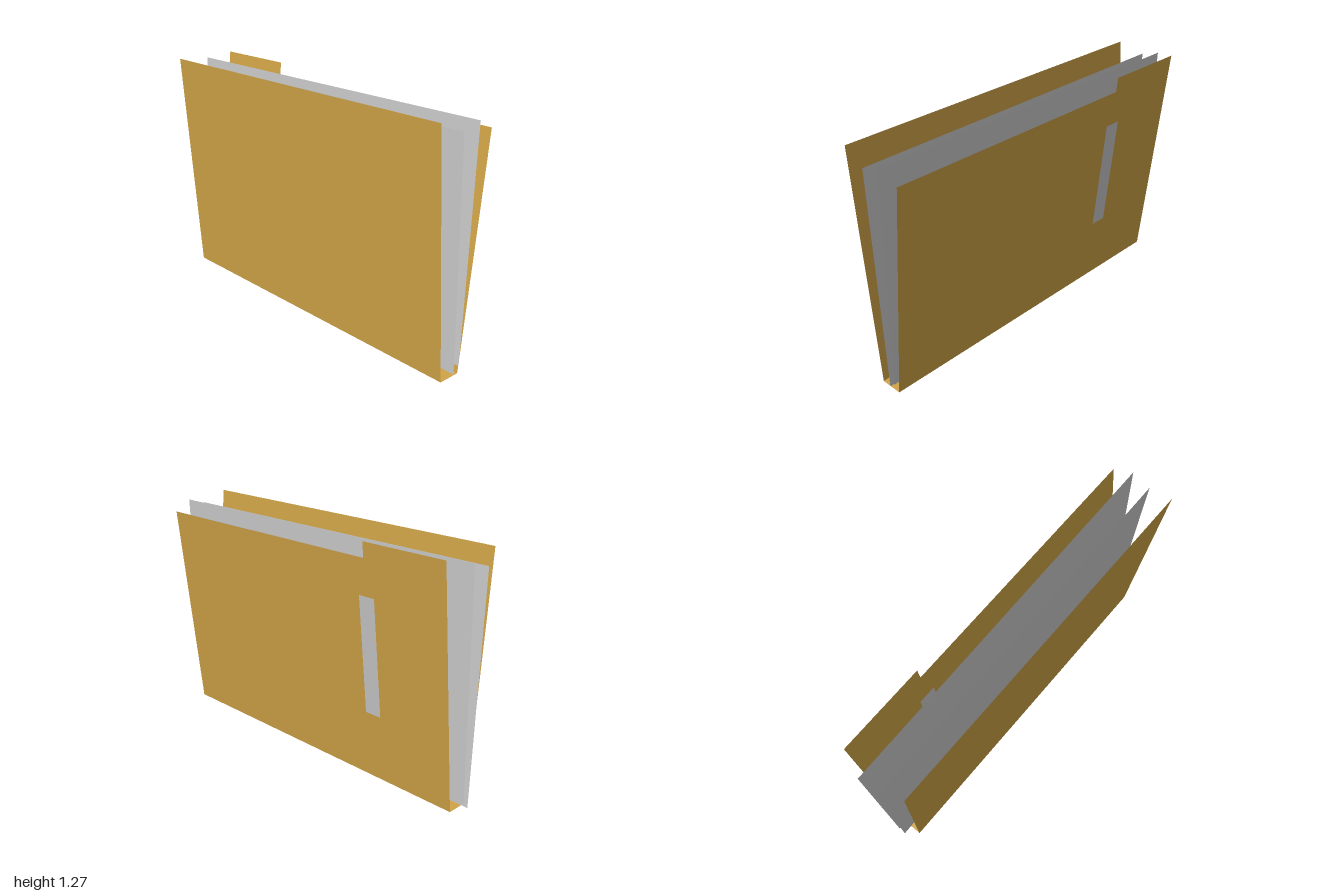
import * as THREE from 'three';

const card = new THREE.MeshStandardMaterial({ color: 0xd1a547, side: THREE.DoubleSide });
const paper = new THREE.MeshStandardMaterial({ color: 0xcccccc, side: THREE.DoubleSide });

// Flat outline given as [z, y] points, placed in space by a rule x = xAt(z, y).
function leaf(name, outline, xAt, material) {
  const shape = new THREE.Shape(outline.map(([z, y]) => new THREE.Vector2(z, y)));
  const geometry = new THREE.ShapeGeometry(shape);
  const p = geometry.attributes.position;
  for (let i = 0; i < p.count; i++) {
    const z = p.getX(i), y = p.getY(i);
    p.setXYZ(i, xAt(z, y), y, z);
  }
  geometry.computeVertexNormals();
  // the outline's front now looks towards -x
  const mesh = new THREE.Mesh(geometry, material);
  mesh.name = name;
  return mesh;
}

const rect = (z0, z1, y0, y1) => [[z0, y0], [z1, y0], [z1, y1], [z0, y1]];

export function createModel() {
  const group = new THREE.Group();
  group.name = 'folder';

  const back = -0.945, front = 0.985, height = 1.27, lowEdge = 1.19;
  const spineRight = -0.085, spineLeft = 0.037;
  const rightX = (z, y) => spineRight - 0.075 * y;
  const leftX = (z, y) => spineLeft + 0.109 * y;

  // Full-height cover
  group.add(leaf('rightCover', rect(back, front, 0, height), rightX, card));

  // Cover with a raised tab at the back
  group.add(leaf('leftCover', [
    [back, 0], [front, 0], [front, lowEdge], [-0.47, lowEdge], [-0.47, height], [back, height],
  ], leftX, card));

  // Flat spine joining the covers
  const spineGeometry = new THREE.PlaneGeometry(spineLeft - spineRight, front - back);
  spineGeometry.rotateX(-Math.PI / 2);
  const spine = new THREE.Mesh(spineGeometry, card);
  spine.name = 'spine';
  spine.position.set((spineLeft + spineRight) / 2, 0, (front + back) / 2);
  group.add(spine);

  // Label strip, showing on both faces of the tabbed cover
  for (const [name, offset] of [['labelOutside', 0.002], ['labelInside', -0.002]]) {
    group.add(leaf(name, rect(-0.525, -0.43, 0.37, 1.0), (z, y) => leftX(z, y) + offset, paper));
  }

  // Two loose sheets, each leaning outwards and slightly turned
  group.add(leaf('rightSheet', rect(-1, 1, 0.02, 1.212),
    (z, y) => -0.018 - 0.0285 * (y - 0.02) + 0.0075 * z, paper));
  group.add(leaf('leftSheet', rect(-1, 1, 0.05, 1.243),
    (z, y) => 0.016 + 0.0325 * (y - 0.05) + 0.0078 * z, paper));

  return group;
}
